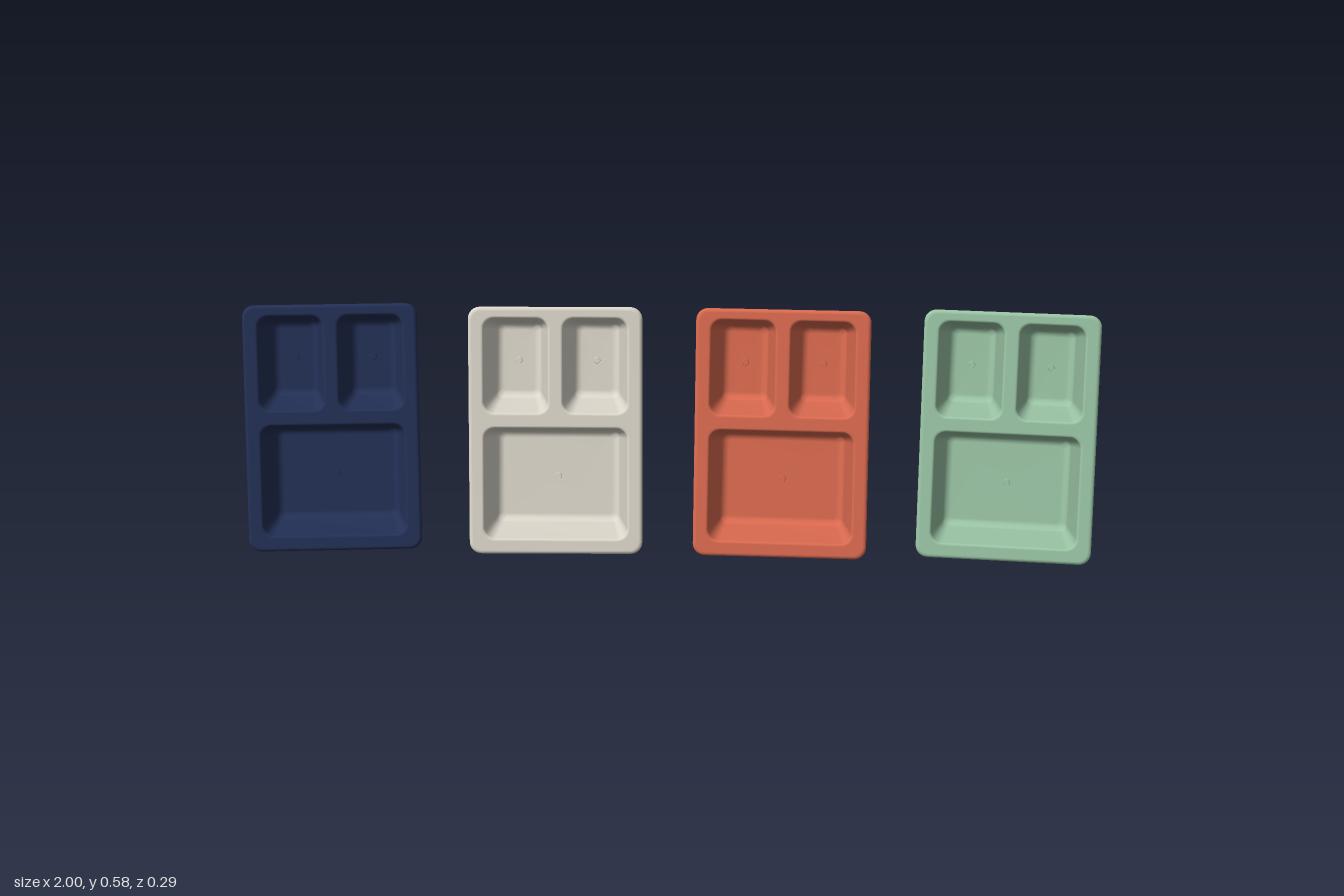
import * as THREE from 'three';
import { RoundedBoxGeometry } from 'three/addons/geometries/RoundedBoxGeometry.js';

const W = 0.408, H = 0.585, D = 0.16;   // front width, height, depth of one tray
const TAPER = Math.tan(THREE.MathUtils.degToRad(10));
const SEG = 6;                          // segments per rounded corner

// Counter-clockwise rounded rectangle outline
function roundRect(cx, cy, w, h, r) {
  const pts = [];
  for (let q = 0; q < 4; q++) {
    const sx = q === 0 || q === 3 ? 1 : -1, sy = q < 2 ? 1 : -1;
    for (let i = 0; i <= SEG; i++) {
      const a = (q + i / SEG) * Math.PI / 2;
      pts.push(new THREE.Vector2(
        cx + sx * (w / 2 - r) + r * Math.cos(a),
        cy + sy * (h / 2 - r) + r * Math.sin(a)));
    }
  }
  return pts;
}

// Skin over rounded-rectangle rings from front to back, closed by a cap at the end
function loft(cx, cy, w, h, r, rings, inward) {
  const pos = [], idx = [], n = 4 * (SEG + 1);
  const tri = (a, b, c) => inward ? idx.push(a, c, b) : idx.push(a, b, c);
  for (const [inset, z] of rings) {
    const rr = Math.max(r - inset * 0.5, 0.006);
    for (const p of roundRect(cx, cy, w - 2 * inset, h - 2 * inset, rr)) pos.push(p.x, p.y, z);
  }
  const last = (rings.length - 1) * n;
  for (let k = 0; k < rings.length - 1; k++) {
    for (let j = 0; j < n; j++) {
      const a = k * n + j, b = k * n + (j + 1) % n;
      tri(a, a + n, b);
      tri(b, a + n, b + n);
    }
  }
  pos.push(cx, cy, rings[rings.length - 1][1]);
  for (let j = 0; j < n; j++) tri(last + n, last + (j + 1) % n, last + j);
  const g = new THREE.BufferGeometry();
  g.setAttribute('position', new THREE.Float32BufferAttribute(pos, 3));
  g.setIndex(idx);
  g.computeVertexNormals();
  return g;
}

// Rings: rounded front lip, tapering wall, rounded far edge
function wallRings(depth, lip, fillet, inward) {
  const rings = [], N = 5;
  for (let i = 0; i <= N; i++) {
    const a = i / N * Math.PI / 2;
    const inset = inward ? -lip * (1 - Math.sin(a)) : lip * (1 - Math.sin(a));
    rings.push([inset, -lip * (1 - Math.cos(a))]);
  }
  for (let i = 0; i <= N; i++) {
    const a = i / N * Math.PI / 2;
    const z = depth - fillet * (1 - Math.sin(a));
    rings.push([z * TAPER + fillet * (1 - Math.cos(a)), -z]);
  }
  return rings;
}

// Compartments: centre x, centre y, width, height
const cells = [
  ['largeCompartment', 0, 0.168, 0.336, 0.262],
  ['leftCompartment', 0.093, 0.447, 0.15, 0.222],
  ['rightCompartment', -0.093, 0.447, 0.15, 0.222],
];
const LIP = 0.006, CELL_R = 0.026, CELL_D = 0.13;

function createTray(name, color) {
  const tray = new THREE.Group();
  tray.name = name;
  const mat = new THREE.MeshStandardMaterial({ color });
  const add = (part, geo, x = 0, y = 0, z = 0) => {
    const m = new THREE.Mesh(geo, mat);
    m.name = part;
    m.position.set(x, y, z);
    tray.add(m);
    return m;
  };

  // Outer body
  add('outerShell', loft(0, H / 2, W, H, 0.028, wallRings(D, 0.008, 0.024, false), false));

  // Front rim with an opening per compartment
  const rim = new THREE.Shape(roundRect(0, H / 2, W - 0.016, H - 0.016, 0.024));
  for (const [, cx, cy, w, h] of cells) {
    rim.holes.push(new THREE.Path(roundRect(cx, cy, w + 2 * LIP, h + 2 * LIP, CELL_R + LIP / 2)));
  }
  add('frontRim', new THREE.ShapeGeometry(rim));

  // Compartments, each with a small stud in the floor
  const stud = new THREE.CylinderGeometry(0.007, 0.008, 0.006, 16).rotateX(Math.PI / 2);
  for (const [part, cx, cy, w, h] of cells) {
    add(part, loft(cx, cy, w, h, CELL_R, wallRings(CELL_D, LIP, 0.016, true), true));
    add('floorStud', stud, cx, cy, -CELL_D + 0.002);
  }

  // Thin ribs along both sides
  const rib = new RoundedBoxGeometry(0.008, 0.004, 0.038, 2, 0.0015);
  for (const s of [-1, 1]) {
    for (let i = 0; i < 5; i++) {
      const m = add('sideRib', rib, s * (W / 2 - 0.08 * TAPER - 0.001), 0.09 + 0.095 * i, -0.08);
      m.rotation.y = s * Math.atan(TAPER);
    }
  }

  // Two upper back pads with small pins
  const pad = new RoundedBoxGeometry(0.092, 0.134, 0.022, 3, 0.006);
  const pin = new THREE.CylinderGeometry(0.003, 0.003, 0.004, 10).rotateX(Math.PI / 2);
  for (const s of [-1, 1]) {
    add('backPad', pad, s * 0.086, 0.445, -D - 0.003);
    for (const dy of [-0.03, 0.03]) add('padPin', pin, s * 0.086, 0.445 + dy, -D - 0.0145);
  }

  // Lower back plate with four screws
  add('backPlate', new RoundedBoxGeometry(0.27, 0.198, 0.022, 3, 0.006), 0, 0.168, -D - 0.003);
  const screw = new THREE.LatheGeometry([
    [0, 0.014], [0.007, 0.014], [0.0095, 0.012], [0.0105, 0.009], [0.0105, 0],
  ].map(([x, y]) => new THREE.Vector2(x, y)).reverse(), 18).rotateX(-Math.PI / 2);
  for (const x of [-0.11, 0.11]) {
    for (const y of [0.1, 0.235]) add('plateScrew', screw, x, y, -D - 0.0135);
  }
  return tray;
}

export function createModel() {
  const model = new THREE.Group();
  model.name = 'trayRow';
  // Four leaning trays, fanned slightly: name, colour, x, yaw in degrees
  const row = [
    ['navyTray', 0x233056, -0.786, 6],
    ['creamTray', 0xddd8cc, -0.263, 2],
    ['coralTray', 0xdb6a4f, 0.263, -2],
    ['greenTray', 0x9ac4a4, 0.786, -6],
  ];
  for (const [name, color, x, yaw] of row) {
    const tray = createTray(name, color);
    tray.rotation.order = 'YXZ';
    tray.rotation.set(THREE.MathUtils.degToRad(-10), THREE.MathUtils.degToRad(yaw), 0);
    tray.position.set(x, 0.001, 0.125);
    model.add(tray);
  }
  return model;
}
